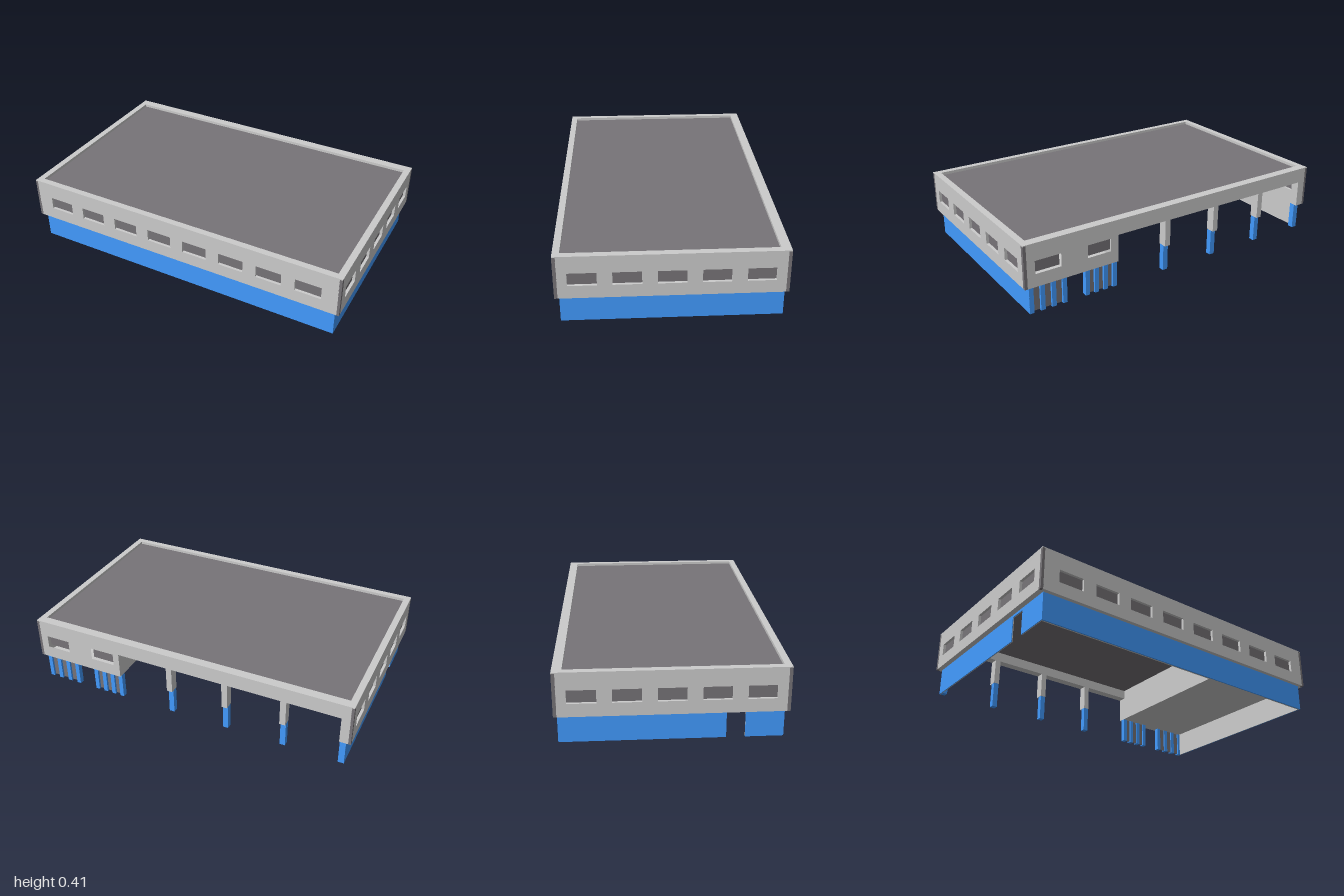
import * as THREE from 'three';

const mat = (color) => new THREE.MeshStandardMaterial({ color, flatShading: true });
const GREY = mat(0xcccccc), DARK = mat(0x777478), BLUE = mat(0x429bff);
const BAND = 0.16, TOP = 0.41;          // top of the blue plinth, top of the parapet
const WIN = { w: 0.153, y0: 0.235, y1: 0.31 };

function add(parent, name, geometry, material) {
  const mesh = new THREE.Mesh(geometry, material);
  mesh.name = name;
  parent.add(mesh);
  return mesh;
}

// Box given by its two opposite corners
function block(parent, name, material, [x0, y0, z0], [x1, y1, z1]) {
  const mesh = add(parent, name, new THREE.BoxGeometry(x1 - x0, y1 - y0, z1 - z0), material);
  mesh.position.set((x0 + x1) / 2, (y0 + y1) / 2, (z0 + z1) / 2);
  return mesh;
}

// Upright wall: an outline in x, y with window holes, from z0 to z1
function wall(parent, name, material, outline, z0, z1, windows = []) {
  const shape = new THREE.Shape(outline.map(([x, y]) => new THREE.Vector2(x, y)));
  for (const c of windows) {
    const l = c - WIN.w / 2, r = c + WIN.w / 2;
    shape.holes.push(new THREE.Path([
      new THREE.Vector2(l, WIN.y0), new THREE.Vector2(l, WIN.y1),
      new THREE.Vector2(r, WIN.y1), new THREE.Vector2(r, WIN.y0)]));
  }
  const geometry = new THREE.ExtrudeGeometry(shape, { depth: z1 - z0, bevelEnabled: false });
  add(parent, name, geometry, material).position.z = z0;
  // recessed panes in the middle of the wall
  const mid = (z0 + z1) / 2;
  for (const c of windows) {
    block(parent, 'windowPane', DARK,
      [c - WIN.w / 2, WIN.y0, mid - 0.003], [c + WIN.w / 2, WIN.y1, mid + 0.003]);
  }
}

const rect = (x0, x1, y0, y1) => [[x0, y0], [x1, y0], [x1, y1], [x0, y1]];

function side(parent, name, angle) {
  const group = new THREE.Group();
  group.name = name;
  group.rotation.y = angle;
  parent.add(group);
  return group;
}

export function createModel() {
  const model = new THREE.Group();
  model.name = 'warehouse';

  // Front: long windowed band over a blue plinth
  const front = side(model, 'frontSide', 0);
  const frontWindows = Array.from({ length: 8 }, (_, i) => (i - 3.5) * 0.233);
  wall(front, 'frontBand', GREY, rect(-0.985, 0.985, BAND, TOP), 0.575, 0.613, frontWindows);
  wall(front, 'frontPlinth', BLUE, rect(-0.97, 0.97, 0, BAND), 0.583, 0.59);
  wall(front, 'frontLining', GREY, rect(-0.966, 0.966, 0, BAND), 0.575, 0.583);

  // Short sides, the right one with a doorway
  const sideWindows = [-2, -1, 0, 1, 2].map((i) => i * 0.233);
  for (const s of [1, -1]) {
    const end = side(model, s > 0 ? 'leftSide' : 'rightSide', s * Math.PI / 2);
    wall(end, 'sideBand', GREY, rect(-0.595, 0.595, BAND, TOP), 0.962, 1, sideWindows);
    const x0 = s > 0 ? -0.583 : -0.595, x1 = s > 0 ? 0.595 : 0.583;
    const outline = s > 0 ? rect(x0, x1, 0, BAND) : [
      [x0, 0], [0.285, 0], [0.285, 0.145], [0.385, 0.145], [0.385, 0],
      [x1, 0], [x1, BAND], [x0, BAND]];
    wall(end, 'sidePlinth', BLUE, outline, 0.966, 0.97);
    wall(end, 'sideLining', GREY, outline, 0.962, 0.966);
  }

  // Back: office wall at one end, then loading bays between columns
  const back = side(model, 'backSide', Math.PI);
  const LINTEL = 0.32, OFFICE = 0.43, HALF = 0.0175;
  const columns = [0.095, -0.257, -0.609];
  const outline = [[-0.985, TOP], [-0.985, BAND], [-OFFICE, BAND], [-OFFICE, LINTEL]];
  for (const x of columns) {
    outline.push([-x - HALF, LINTEL], [-x - HALF, BAND], [-x + HALF, BAND], [-x + HALF, LINTEL]);
  }
  outline.push([0.935, LINTEL], [0.935, BAND], [0.985, BAND], [0.985, TOP]);
  wall(back, 'backBand', GREY, outline.reverse(), 0.56, 0.613, [-0.86, -0.546]);

  // Blue column feet
  for (const x of columns) {
    block(model, 'columnFoot', BLUE, [x - 0.016, 0, -0.595], [x + 0.016, BAND, -0.562]);
  }
  block(model, 'cornerColumnFoot', BLUE, [-0.9695, 0, -0.5955], [-0.935, BAND, -0.562]);

  // Office entrance: blue mullions with dark glass either side of an open doorway
  for (const [x0, x1] of [[OFFICE, 0.63], [0.745, 0.9695]]) {
    block(model, 'entranceGlass', DARK, [x0 + 0.01, 0.004, -0.582], [x1 - 0.01, BAND, -0.574]);
    for (let i = 0; i < 4; i++) {
      const x = x0 + (x1 - x0 - 0.026) * i / 3;
      block(model, 'entranceMullion', BLUE, [x, 0, -0.5955], [x + 0.026, BAND, -0.565]);
    }
  }

  // Upper office: floor slab and partition
  block(model, 'officeFloor', GREY, [OFFICE, BAND, -0.57], [0.964, BAND + 0.012, 0.577]);
  block(model, 'officePartition', GREY, [OFFICE, BAND, -0.57], [OFFICE + 0.02, 0.385, 0.577]);

  // Dark corner posts under light caps
  for (const sx of [1, -1]) {
    for (const sz of [1, -1]) {
      const px = sx * 0.9915, pz = sz * 0.6035;
      block(model, 'cornerPost', DARK,
        [px - 0.0085, BAND, pz - 0.0095], [px + 0.0085, TOP - 0.005, pz + 0.0095]);
      block(model, 'cornerCap', GREY,
        [px - 0.0085, TOP - 0.005, pz - 0.0095], [px + 0.0085, TOP, pz + 0.0095]);
    }
  }

  // Flat roof set just below the parapet
  block(model, 'roof', DARK, [-0.964, 0.38, -0.562], [0.964, 0.393, 0.577]);
  return model;
}
